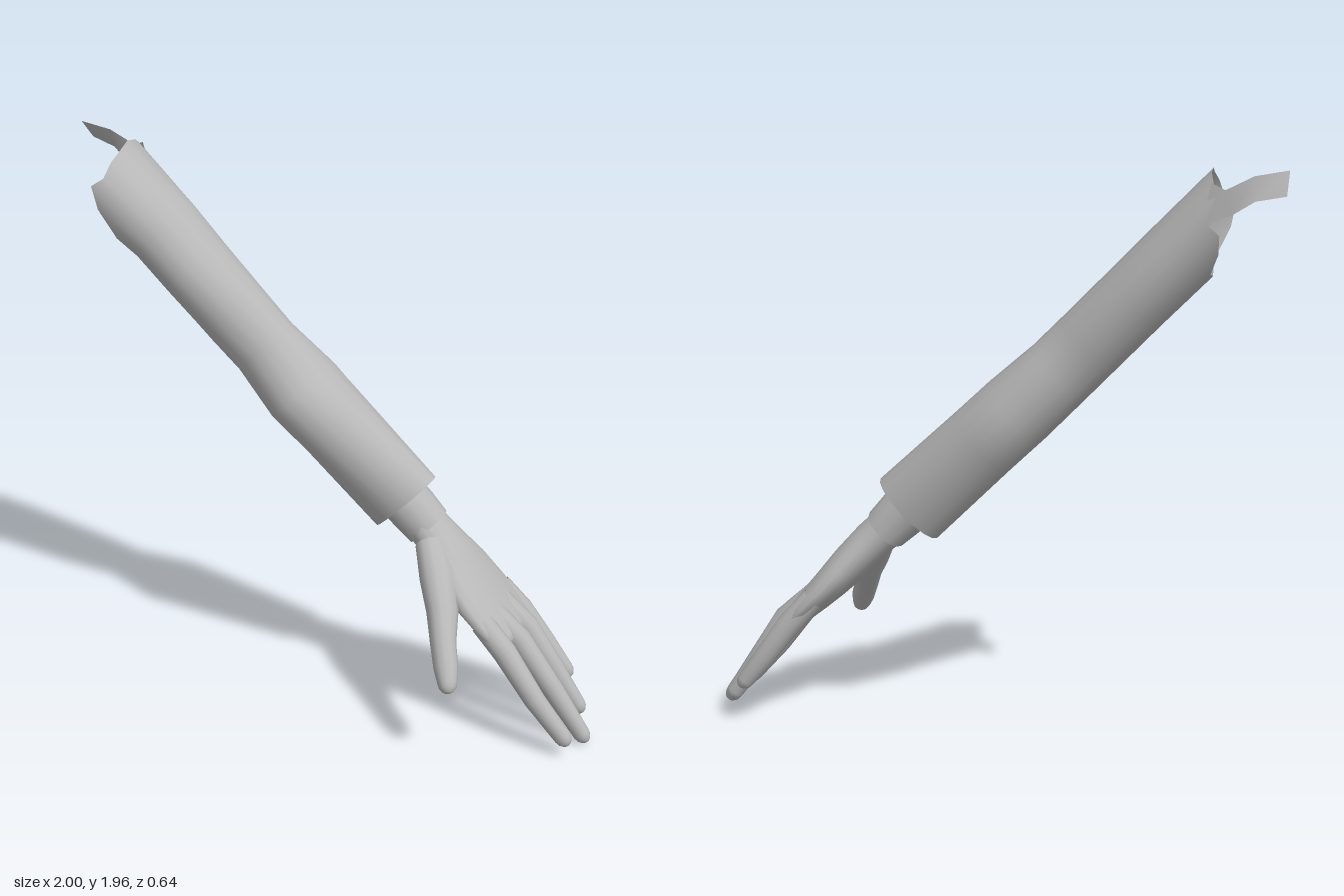
import * as THREE from 'three';

const SIDES = 16;
const material = new THREE.MeshStandardMaterial({ color: 0xb8b8b8, side: THREE.DoubleSide });
material.name = 'plain grey';

// Smooth skin through equal-sized rings of points; optional tip closes the end
function skin(name, rings, tip) {
  const points = rings.flat();
  const n = rings[0].length;
  const index = [];
  for (let i = 0; i < rings.length - 1; i++) {
    for (let j = 0; j < n; j++) {
      const a = i * n + j, b = i * n + (j + 1) % n;
      index.push(a, b, a + n, b, b + n, a + n);
    }
  }
  if (tip) {
    const last = (rings.length - 1) * n;
    for (let j = 0; j < n; j++) index.push(last + j, last + (j + 1) % n, points.length);
    points.push(tip);
  }
  const geometry = new THREE.BufferGeometry().setFromPoints(points);
  geometry.setIndex(index);
  geometry.computeVertexNormals();
  const mesh = new THREE.Mesh(geometry, material);
  mesh.name = name;
  return mesh;
}

// Limb along stations [x, y, z, half thickness, half width], with a rounded end
function limb(name, stations, tipLength, sides = 12) {
  const centres = stations.map(s => new THREE.Vector3(s[0], s[1], s[2]));
  const rings = [];
  const ring = (c, u, w, a, b) => Array.from({ length: sides }, (_, j) => {
    const t = j / sides * Math.PI * 2;
    return c.clone().addScaledVector(u, a * Math.cos(t)).addScaledVector(w, b * Math.sin(t));
  });
  let tip = null;
  stations.forEach((s, i) => {
    const last = stations.length - 1;
    const d = centres[Math.min(i + 1, last)].clone().sub(centres[Math.max(i - 1, 0)]).normalize();
    const w = new THREE.Vector3(0, 0, 1).addScaledVector(d, -d.z).normalize();
    const u = w.clone().cross(d);
    rings.push(ring(centres[i], u, w, s[3], s[4]));
    if (i === last && tipLength) {
      for (const t of [0.5, 1, 1.3]) {
        const c = centres[i].clone().addScaledVector(d, tipLength * Math.sin(t));
        rings.push(ring(c, u, w, s[3] * Math.cos(t), s[4] * Math.cos(t)));
      }
      tip = centres[i].clone().addScaledVector(d, tipLength);
    }
  });
  return skin(name, rings, tip);
}

// Sleeve: s runs down the arm, n across it at 45 degrees
function sleeve() {
  const shoulderEdge = [-1.916, -1.90, -1.885, -1.86, -1.87, -1.80, -1.69, -1.67,
    -1.67, -1.68, -1.75, -1.80, -1.80, -1.88, -1.90, -1.91];
  const stations = [ // s, n min, n max, z min, z max
    [null, 0.615, 0.868, -0.25, 0.085],
    [-1.60, 0.615, 0.866, -0.25, 0.055],
    [-1.44, 0.615, 0.864, -0.24, 0.05],
    [-1.22, 0.612, 0.862, -0.225, 0.03],
    [-1.08, 0.61, 0.862, -0.208, 0.005],
    [-0.88, 0.608, 0.877, -0.258, 0.073],
    [-0.72, 0.612, 0.882, -0.243, 0.05],
    [-0.355, 0.615, 0.898, -0.195, 0.0],
  ];
  const rings = stations.map(([s, n0, n1, z0, z1]) => shoulderEdge.map((edge, j) => {
    const t = j / SIDES * Math.PI * 2;
    const n = (n0 + n1) / 2 + (n1 - n0) / 2 * Math.cos(t);
    const along = s === null ? edge : s;
    return new THREE.Vector3((along + n) * Math.SQRT1_2, (n - along) * Math.SQRT1_2,
      (z0 + z1) / 2 + (z1 - z0) / 2 * Math.sin(t));
  }));
  return skin('sleeve', rings);
}

// Loose strip of cloth behind the shoulder
function shoulderFlap() {
  const pairs = [
    [-0.75, 1.93, -0.215, -0.73, 1.80, -0.245],
    [-0.80, 1.91, -0.245, -0.82, 1.83, -0.25],
    [-0.89, 1.955, -0.242, -0.90, 1.88, -0.29],
    [-1.00, 1.975, -0.24, -1.00, 1.90, -0.32],
  ];
  const geometry = new THREE.BufferGeometry();
  geometry.setAttribute('position', new THREE.Float32BufferAttribute(pairs.flat(), 3));
  const index = [];
  for (let i = 0; i < 6; i += 2) index.push(i, i + 1, i + 2, i + 1, i + 3, i + 2);
  geometry.setIndex(index.reverse());
  geometry.computeVertexNormals();
  const mesh = new THREE.Mesh(geometry, material);
  mesh.name = 'shoulderFlap';
  return mesh;
}

function hand() {
  const group = new THREE.Group();
  group.name = 'hand';
  // Wrist and palm
  group.add(limb('palm', [
    [0.20, 0.86, -0.095, 0.07, 0.075],
    [0.34, 0.735, -0.095, 0.07, 0.08],
    [0.42, 0.66, -0.09, 0.07, 0.10],
    [0.50, 0.575, -0.08, 0.068, 0.155],
    [0.57, 0.50, -0.075, 0.06, 0.178],
    [0.63, 0.44, -0.075, 0.052, 0.183],
    [0.685, 0.385, -0.075, 0.042, 0.178],
  ], 0.04, 20));
  // Inner cuff around the wrist
  group.add(limb('wristCuff', [
    [0.24, 0.83, -0.095, 0.09, 0.085],
    [0.31, 0.765, -0.095, 0.088, 0.085],
    [0.37, 0.705, -0.095, 0.08, 0.088],
  ], 0));
  // Fingers: base, middle joint, tip centre
  const fingers = {
    indexFinger: [[0.62, 0.45, 0.055], [0.71, 0.365, 0.075], [0.825, 0.21, 0.085], [0.93, 0.085, 0.085]],
    middleFinger: [[0.62, 0.465, -0.03], [0.73, 0.37, -0.027], [0.86, 0.195, -0.028], [0.968, 0.045, -0.028]],
    ringFinger: [[0.62, 0.465, -0.125], [0.73, 0.37, -0.125], [0.83, 0.22, -0.135], [0.92, 0.092, -0.138]],
    littleFinger: [[0.60, 0.47, -0.205], [0.68, 0.385, -0.218], [0.765, 0.27, -0.232], [0.845, 0.168, -0.235]],
  };
  const thickness = [0.042, 0.042, 0.037, 0.03];
  for (const [name, path] of Object.entries(fingers)) {
    group.add(limb(name, path.map((p, i) => [...p, thickness[i], thickness[i] * 0.95]), 0.035));
  }
  // Thumb
  group.add(limb('thumb', [
    [0.40, 0.67, -0.04, 0.055, 0.06],
    [0.455, 0.585, 0.04, 0.062, 0.075],
    [0.50, 0.50, 0.125, 0.052, 0.062],
    [0.53, 0.425, 0.20, 0.044, 0.045],
    [0.558, 0.365, 0.25, 0.042, 0.042],
    [0.575, 0.325, 0.283, 0.033, 0.034],
  ], 0.035));
  return group;
}

export function createModel() {
  const model = new THREE.Group();
  model.name = 'arm';
  model.add(sleeve(), shoulderFlap(), hand());
  return model;
}
